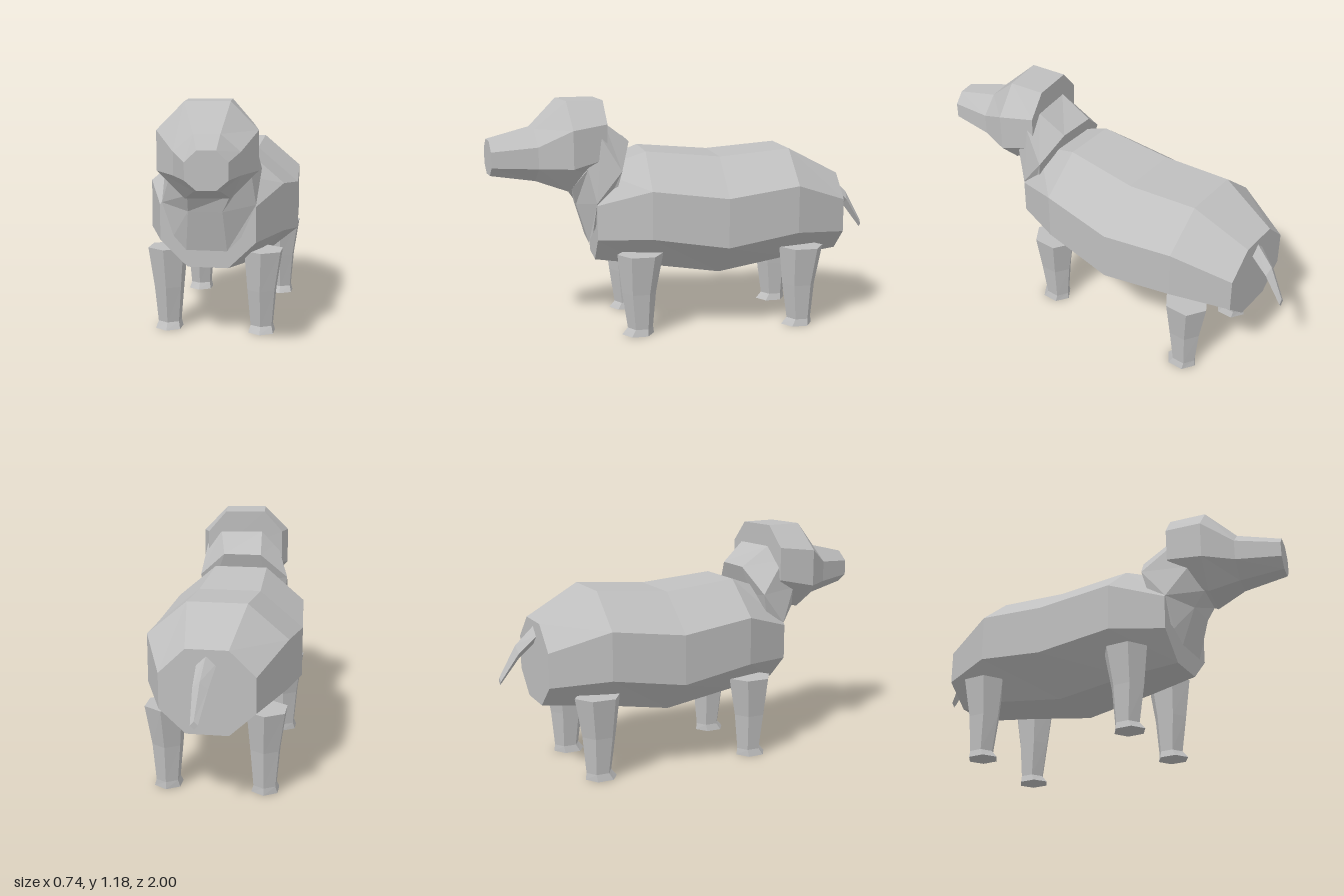
import * as THREE from 'three';

const V = (x, y, z) => new THREE.Vector3(x, y, z);

// Faceted skin through closed rings of points, capped at both ends.
// Rings run counter-clockwise when seen from the end they advance toward.
function loft(name, rings, material) {
  const pos = [];
  const tri = (...pts) => pts.forEach((p) => pos.push(p.x, p.y, p.z));
  const n = rings[0].length;
  for (let k = 0; k < rings.length - 1; k++) {
    for (let i = 0; i < n; i++) {
      const j = (i + 1) % n;
      const a = rings[k][i], b = rings[k][j], c = rings[k + 1][j], d = rings[k + 1][i];
      tri(a, b, c);
      tri(a, c, d);
    }
  }
  const first = rings[0], last = rings[rings.length - 1];
  for (let i = 1; i < n - 1; i++) {
    tri(first[0], first[i + 1], first[i]);
    tri(last[0], last[i], last[i + 1]);
  }
  const geometry = new THREE.BufferGeometry();
  geometry.setAttribute('position', new THREE.Float32BufferAttribute(pos, 3));
  geometry.computeVertexNormals();
  const mesh = new THREE.Mesh(geometry, material);
  mesh.name = name;
  return mesh;
}

// Octagon from four levels [halfWidth, y, z]: bottom, lower side, upper side, top.
// cx shifts it sideways, yaw slants z across the width.
function octagon(levels, cx = 0, yaw = 0) {
  const order = [[1, 1], [2, 1], [3, 1], [3, -1], [2, -1], [1, -1], [0, -1], [0, 1]];
  return order.map(([l, s]) => {
    const [w, y, z] = levels[l];
    return V(cx + s * w, y, z - s * w * yaw);
  });
}

// Upright octagon at a single z.
const slice = (z, flat, side, [y0, y1, y2, y3], cx, yaw) =>
  octagon([[flat, y0, z], [side, y1, z], [side, y2, z], [flat, y3, z]], cx, yaw);

export function createModel() {
  const model = new THREE.Group();
  model.name = 'animal';
  const grey = new THREE.MeshStandardMaterial({ color: 0xbfbfbf });
  grey.name = 'grey';

  // Barrel-shaped trunk, rump to chest
  model.add(loft('body', [
    slice(-0.83, 0.1, 0.225, [0.365, 0.48, 0.65, 0.77]),
    slice(-0.55, 0.145, 0.34, [0.34, 0.51, 0.75, 0.915]),
    slice(-0.18, 0.155, 0.37, [0.28, 0.455, 0.705, 0.885]),
    slice(0.2, 0.138, 0.338, [0.335, 0.51, 0.75, 0.92]),
    slice(0.46, 0.1, 0.235, [0.365, 0.495, 0.67, 0.83]),
  ], grey));

  // Neck, tilted rings from chest to head
  model.add(loft('neck', [
    octagon([[0.1, 0.455, 0.49], [0.165, 0.52, 0.475], [0.21, 0.69, 0.37], [0.1, 0.82, 0.33]]),
    octagon([[0.083, 0.655, 0.55], [0.23, 0.68, 0.46], [0.24, 0.84, 0.335], [0.1, 0.97, 0.28]], 0.005),
    octagon([[0.1, 0.74, 0.59], [0.185, 0.85, 0.53], [0.19, 1.0, 0.46], [0.11, 1.07, 0.425]], 0.03, 0.16),
  ], grey));

  // Head turned slightly to its left, skull to muzzle tip
  model.add(loft('head', [
    octagon([[0.1, 0.8, 0.47], [0.2, 0.9, 0.43], [0.2, 1.07, 0.428], [0.105, 1.18, 0.425]], 0.01, 0.14),
    slice(0.612, 0.105, 0.233, [0.73, 0.86, 1.048, 1.18], 0.03, 0.17),
    slice(0.762, 0.06, 0.15, [0.785, 0.858, 0.965, 1.045], 0.055, 0.16),
    slice(0.98, 0.042, 0.094, [0.822, 0.867, 0.945, 0.995], 0.094, 0.16),
  ], grey));

  // Six-sided legs: rows of [y, halfWidth, length radius, x, z]
  const legRows = [
    [0, 0.063, 0.082, 0.238, 0.262],
    [0.035, 0.053, 0.065, 0.238, 0.25],
    [0.22, 0.068, 0.087, 0.238, 0.255],
    [0.42, 0.09, 0.117, 0.245, 0.248],
  ];
  for (const [end, dz] of [['front', 0], ['back', -0.843]]) {
    for (const [label, s] of [['Left', 1], ['Right', -1]]) {
      const rings = legRows.map(([y, w, r, x, z]) =>
        Array.from({ length: 6 }, (_, i) => {
          const a = ((i + 0.5) * Math.PI) / 3;
          return V(s * x + (w * Math.cos(a)) / Math.cos(Math.PI / 6), y, z + dz - r * Math.sin(a));
        }));
      model.add(loft(end + label + 'Leg', rings, grey));
    }
  }

  // Thin drooping tail, diamond section: [x, halfWidth, top y, top z, bottom y, bottom z]
  const tailRings = [
    [0.002, 0.047, 0.755, -0.815, 0.66, -0.82],
    [0.015, 0.036, 0.65, -0.92, 0.58, -0.905],
    [0.028, 0.018, 0.495, -1, 0.455, -0.998],
  ].map(([x, w, yt, zt, yb, zb]) => {
    const y = (yt + yb) / 2, z = (zt + zb) / 2;
    return [V(x - w, y, z), V(x, yt, zt), V(x + w, y, z), V(x, yb, zb)];
  });
  model.add(loft('tail', tailRings, grey));

  return model;
}
